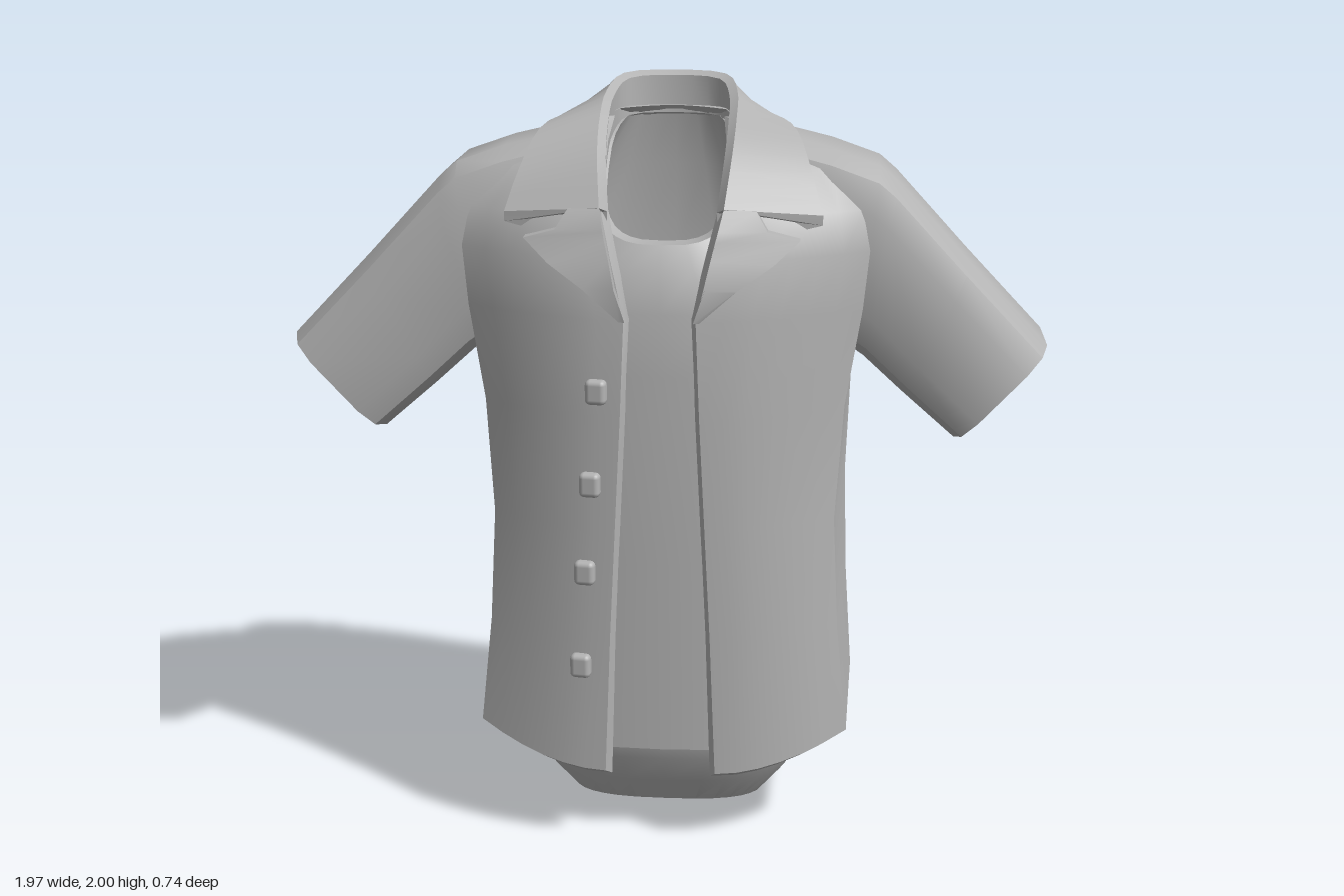
import * as THREE from 'three';
import { toCreasedNormals } from 'three/addons/utils/BufferGeometryUtils.js';
import { RoundedBoxGeometry } from 'three/addons/geometries/RoundedBoxGeometry.js';

const cloth = new THREE.MeshStandardMaterial({ color: 0xb4b4b4 });
cloth.name = 'grey cloth';

const lerp = THREE.MathUtils.lerp;
const spow = (v, e) => Math.sign(v) * Math.abs(v) ** e;
const mirror = (grid) => grid.map((row) => row.map(([x, y, z]) => [-x, y, z]).reverse());

// Adds a four-cornered face, leaving out collapsed triangles
function quad(out, a, b, c, d) {
  const same = (p, q) => Math.hypot(p[0] - q[0], p[1] - q[1], p[2] - q[2]) < 1e-6;
  for (const [p, q, r] of [[a, b, c], [a, c, d]]) {
    if (!same(p, q) && !same(q, r) && !same(p, r)) out.push(...p, ...q, ...r);
  }
}

// Adds a grid of points as a surface
function surface(out, g, flip = false) {
  for (let r = 0; r < g.length - 1; r++) {
    for (let c = 0; c < g[r].length - 1; c++) {
      const q = [g[r][c], g[r][c + 1], g[r + 1][c + 1], g[r + 1][c]];
      quad(out, ...(flip ? q.reverse() : q));
    }
  }
}

function toMesh(name, positions) {
  const geo = new THREE.BufferGeometry();
  geo.setAttribute('position', new THREE.Float32BufferAttribute(positions, 3));
  const mesh = new THREE.Mesh(toCreasedNormals(geo, 0.6), cloth);
  mesh.name = name;
  return mesh;
}

// Thick cloth between an outer and an inner grid, with its rims
function slab(name, o, i, closed = false) {
  const out = [];
  surface(out, o);
  surface(out, i, true);
  const t = o.length - 1, e = o[0].length - 1;
  for (let c = 0; c < e; c++) {
    quad(out, i[0][c], i[0][c + 1], o[0][c + 1], o[0][c]);
    quad(out, o[t][c], o[t][c + 1], i[t][c + 1], i[t][c]);
  }
  for (let r = 0; r < t && !closed; r++) {
    quad(out, i[r][0], o[r][0], o[r + 1][0], i[r + 1][0]);
    quad(out, o[r][e], i[r][e], i[r + 1][e], o[r + 1][e]);
  }
  return toMesh(name, out);
}

// Rounded closed cross-section; its height may slope from front to back
function ring(rx, zf, zb, yf, yb = yf, power = 0.75, n = 32) {
  return Array.from({ length: n + 1 }, (_, k) => {
    const a = ((k % n) / n) * Math.PI * 2;
    const f = spow(Math.cos(a), power);
    return [rx * spow(Math.sin(a), power), lerp(yb, yf, (f + 1) / 2), lerp(zb, zf, (f + 1) / 2)];
  });
}

// Open shirt body: y, opening x, front z, front seam x z, back seam x z, back z
const BODY = [
  [0.31, 0.145, 0.35, 0.49, 0.24, 0.505, -0.25, -0.36],
  [0.6, 0.13, 0.352, 0.46, 0.23, 0.485, -0.225, -0.32],
  [0.9, 0.115, 0.355, 0.445, 0.22, 0.475, -0.205, -0.297],
  [1.2, 0.1, 0.355, 0.465, 0.2, 0.485, -0.2, -0.295],
  [1.45, 0.09, 0.35, 0.505, 0.19, 0.5, -0.2, -0.3],
  [1.6, 0.125, 0.325, 0.52, 0.178, 0.505, -0.207, -0.3],
  [1.7, 0.15, 0.275, 0.5, 0.163, 0.48, -0.21, -0.297],
  [1.8, 0.165, 0.19, 0.42, 0.12, 0.42, -0.2, -0.287],
  [1.86, 0.165, 0.12, 0.3, 0.07, 0.3, -0.165, -0.265],
  [1.91, 0.16, 0.04, 0.2, 0, 0.165, -0.14, -0.225],
];

function bodyRow([y, xo, zf, fx, fz, bx, bz, zb], index) {
  const half = [];
  const bulge = (t) => 1 - t ** 1.8;
  for (let k = 0; k <= 6; k++) half.push([lerp(xo, fx, k / 6), y, fz + (zf - fz) * bulge(k / 6)]);
  for (let k = 1; k < 3; k++) half.push([lerp(fx, bx, k / 3), y, lerp(fz, bz, k / 3)]);
  for (let k = 8; k >= 0; k--) half.push([(bx * k) / 8, y, bz + (zb - bz) * bulge(k / 8)]);
  // the hem dips at the front and the back
  if (index === 0) {
    for (const p of half) p[1] -= 0.09 * THREE.MathUtils.clamp((Math.abs(p[2]) - 0.24) / 0.11, 0, 1);
  }
  return [...half, ...mirror([half])[0].slice(1)];
}

function shirtBody() {
  const outer = BODY.map(bodyRow);
  // the lining follows 0.03 inside, with slanted hem and front edges
  const inner = outer.map((row, r) => row.map((p, c) => {
    const end = row.length - 1;
    const a = row[Math.max(c - 1, 0)], b = row[Math.min(c + 1, end)];
    const dx = b[0] - a[0], dz = b[2] - a[2], s = 0.03 / Math.hypot(dx, dz);
    const edge = c === 0 ? -0.012 : c === end ? 0.012 : 0;
    return [p[0] + dz * s + edge, p[1] - (r === 0 ? 0.02 : 0), p[2] - dx * s];
  }));
  return slab('shirtBody', outer, inner);
}

// Sleeve sections from the shoulder: top x y, bottom x y, back z, front z
const SLEEVE = [
  [0.24, 1.885, 0.34, 1.42, -0.245, 0.14],
  [0.42, 1.845, 0.42, 1.36, -0.225, 0.165],
  [0.545, 1.803, 0.48, 1.32, -0.212, 0.172],
  [0.59, 1.765, 0.51, 1.3, -0.207, 0.173],
  [0.78, 1.56, 0.61, 1.21, -0.197, 0.178],
  [0.985, 1.345, 0.75, 1.09, -0.195, 0.19],
];

function sleeveGrid(scale) {
  return SLEEVE.map(([tx, ty, bx, by, zb, zf]) => Array.from({ length: 13 }, (_, k) => {
    const a = (((k % 12) * 30 + 15) * Math.PI) / 180;
    const v = (1 + scale * spow(Math.cos(a), 0.5)) / 2;
    const u = (1 + scale * spow(Math.sin(a), 0.5)) / 2;
    return [lerp(bx, tx, v), lerp(by, ty, v), lerp(zb, zf, u)];
  }));
}

// Collar: lower outer edge and fold line, from the front notch to the back
const COLLAR = [
  [[0.4, 1.7, 0.24], [0.155, 1.72, 0.29]],
  [[0.37, 1.795, 0.175], [0.17, 1.84, 0.18]],
  [[0.33, 1.883, 0.06], [0.175, 1.92, 0.05]],
  [[0.27, 1.9, -0.09], [0.17, 1.965, -0.08]],
  [[0.165, 1.882, -0.23], [0.135, 1.995, -0.19]],
  [[0, 1.862, -0.285], [0, 2, -0.225]],
];

function collar() {
  // smooth line around the whole neck through one column of the table
  const line = (column) => {
    const half = COLLAR.map((row) => new THREE.Vector3(...row[column]));
    const other = half.slice(0, -1).reverse().map((p) => new THREE.Vector3(-p.x, p.y, p.z));
    const curve = new THREE.CatmullRomCurve3([...half, ...other]);
    return Array.from({ length: 31 }, (_, k) => curve.getPoint(k / 30).toArray());
  };
  const folds = line(1);
  const grid = line(0).map((e, k) => {
    const [x, y, z] = folds[k];
    const under = [e[0], e[1] - 0.025, e[2]];
    return [under, e, [x, y, z], [x * 0.88, y - 0.012, z * 0.92], [x * 0.9, y - 0.11, z * 0.9], under];
  });
  const out = [];
  surface(out, grid, true);
  // front ends
  const [a, b] = [grid[0], grid[grid.length - 1]];
  for (let k = 1; k < 4; k++) out.push(...a[0], ...a[k], ...a[k + 1], ...b[0], ...b[k + 1], ...b[k]);
  return toMesh('collar', out);
}

// Lapel: inner and outer edge, from the bottom to the notch
const LAPEL = [
  [[0.085, 1.45, 0.375], [0.1, 1.45, 0.37]],
  [[0.112, 1.53, 0.37], [0.19, 1.53, 0.367]],
  [[0.126, 1.6, 0.355], [0.28, 1.59, 0.338]],
  [[0.138, 1.645, 0.335], [0.345, 1.645, 0.295]],
  [[0.143, 1.668, 0.325], [0.265, 1.668, 0.306]],
  [[0.155, 1.72, 0.287], [0.235, 1.715, 0.277]],
];

export function createModel() {
  const model = new THREE.Group();
  model.name = 'openShirt';
  model.add(shirtBody(), collar());

  // sleeves and lapels on both sides
  const sleeve = [sleeveGrid(1), sleeveGrid(0.85)];
  const lapel = [LAPEL, LAPEL.map((row) => row.map(([x, y, z]) => [x, y, z - 0.045]))];
  model.add(slab('leftSleeve', ...sleeve, true), slab('rightSleeve', ...sleeve.map(mirror), true));
  model.add(slab('leftLapel', ...lapel), slab('rightLapel', ...lapel.map(mirror)));

  // undershirt, closed against the hips, with a neckline low at the front
  const under = (d) => [
    ring(0.38, 0.23, -0.23, 0.275, 0.31),
    ring(0.455 - d, 0.325 - d, -0.3 + d, 0.275, 0.31),
    ring(0.415 - d, 0.335 - d, -0.25 + d, 0.8),
    ring(0.42 - d, 0.335 - d, -0.245 + d, 1.3),
    ring(0.41 - d, 0.328 - d, -0.245 + d, 1.46, 1.5),
    ring(0.28 - d, 0.305 - d, -0.25 + d, 1.57, 1.75),
    ring(0.175 - d, 0.27 - 4 * d, -0.22 + d, 1.625, 1.91, 0.65),
  ];
  model.add(slab('undershirt', under(0), under(0.015), true));

  // rounded hips: y, half width, half depth
  const hips = [[0, 0, 0], [0.01, 0.14, 0.07], [0.04, 0.265, 0.14], [0.12, 0.33, 0.19],
    [0.2, 0.375, 0.225], [0.28, 0.402, 0.25], [0.4, 0.405, 0.23], [0.4, 0, 0]];
  const hipFaces = [];
  surface(hipFaces, hips.map(([y, rx, rz]) => ring(rx, rz, -rz, y, y, 0.72)));
  model.add(toMesh('hips', hipFaces));

  // buttons down the right front edge
  for (const [x, y, z] of [[-0.16, 1.265, 0.353], [-0.178, 1.02, 0.353], [-0.194, 0.78, 0.35], [-0.208, 0.52, 0.347]]) {
    const button = new THREE.Mesh(new RoundedBoxGeometry(0.055, 0.065, 0.036, 2, 0.014), cloth);
    button.name = 'button';
    button.position.set(x, y, z);
    button.rotation.y = -0.15;
    model.add(button);
  }
  return model;
}
